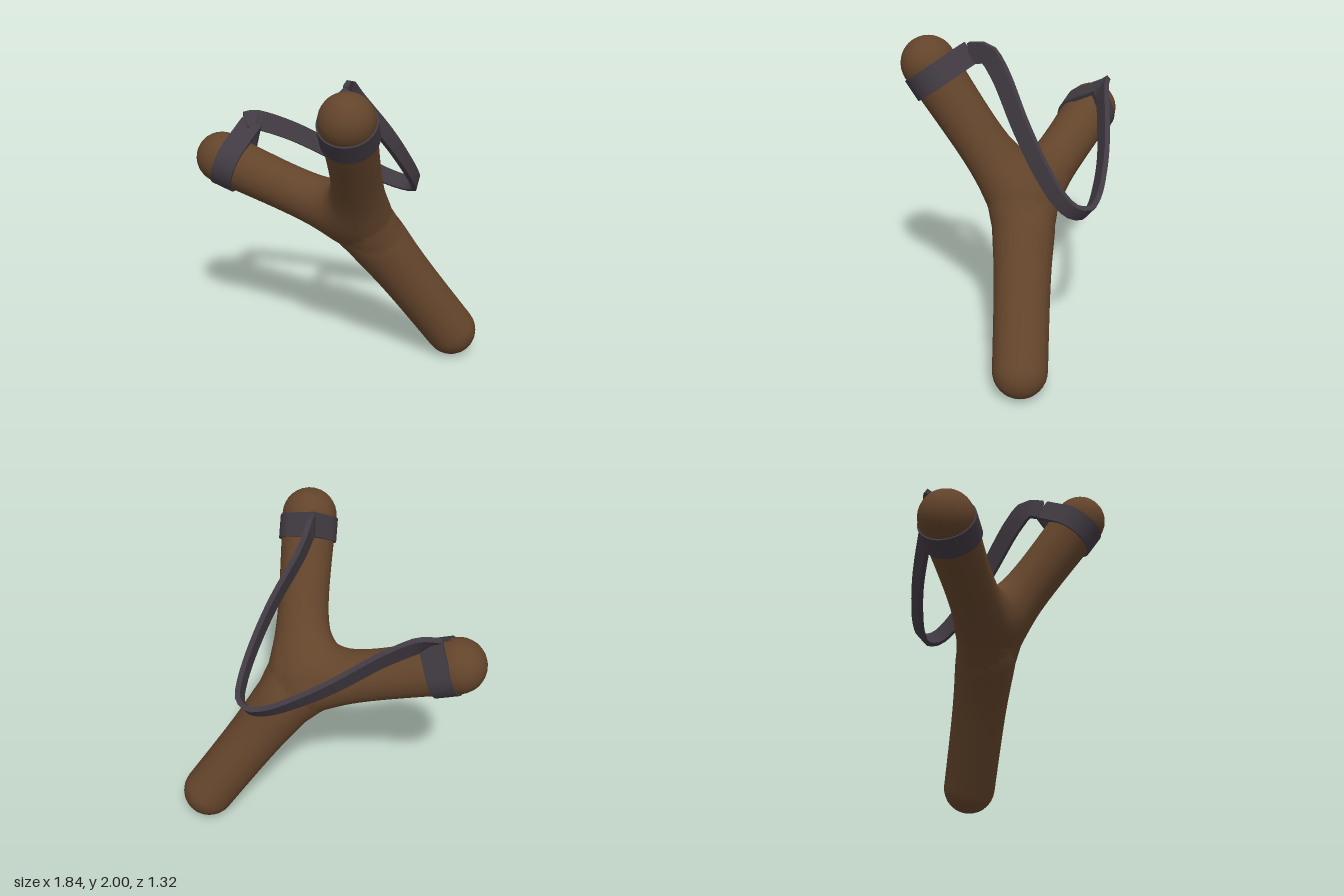
import * as THREE from 'three';
import { toCreasedNormals } from 'three/addons/utils/BufferGeometryUtils.js';

const V = (x, y, z) => new THREE.Vector3(x, y, z);
const wood = new THREE.MeshStandardMaterial({ color: 0x63442b });
const rubber = new THREE.MeshStandardMaterial({ color: 0x413a42 });

// Fork skeleton: three limbs meeting at one joint
const J = V(0.158, 0.968, -0.11);
const limbs = [
  { name: 'frontProng', end: V(0, 1.83, 0.485), r0: 0.13, tail: V(0.01, 1.9, 0.235) },
  { name: 'rearProng', end: V(-0.755, 1.31, -0.495), r0: 0.13, tail: V(-0.6, 1.54, -0.55) },
  { name: 'handle', end: V(0.752, 0.168, -0.135), r0: 0.172 },
];
for (const l of limbs) {
  l.d = l.end.clone().sub(J);
  l.len = l.d.length();
  l.d.normalize();
}
const N = limbs[0].d.clone().cross(limbs[1].d).normalize();
const R1 = 0.168, BLEND = 0.14;

// Distance to the smoothly blended limbs, each thinned at the joint to make room for the web
function field(p) {
  let sum = 0;
  for (const l of limbs) {
    const q = p.clone().sub(J);
    const h = THREE.MathUtils.clamp(q.dot(l.d), 0, l.len);
    const radius = THREE.MathUtils.lerp(l.r0, R1, h / l.len) - 0.123 * Math.exp(-h / 0.14);
    const dist = q.addScaledVector(l.d, -h).length() - radius;
    sum += Math.exp(-dist / BLEND);
  }
  return -BLEND * Math.log(sum);
}

function fieldNormal(p) {
  const e = 0.002, g = (x, y, z) => field(p.clone().add(V(x, y, z))) - field(p.clone().sub(V(x, y, z)));
  return V(g(e, 0, 0), g(0, e, 0), g(0, 0, e)).normalize();
}

// Index for a grid of rings, closed around each ring
function ringIndex(rings, seg) {
  const idx = [];
  for (let i = 0; i < rings - 1; i++) for (let j = 0; j < seg; j++) {
    const a = i * seg + j, b = i * seg + (j + 1) % seg;
    idx.push(a, b, a + seg, b, b + seg, a + seg);
  }
  return idx;
}

// One limb: rings fan from the seams shared with its neighbours to the rounded tip
function limbGeometry(i) {
  const { d, len } = limbs[i];
  const seamNext = d.clone().add(limbs[(i + 1) % 3].d).normalize();
  const seamPrev = d.clone().add(limbs[(i + 2) % 3].d).normalize();
  const side = N.clone().cross(d).normalize();
  const up = d.clone().cross(side);
  const SEG = 32, BODY = 30, CAP = 8, pos = [], nor = [];
  for (let k = 0; k <= BODY + CAP; k++) {
    const s = len * Math.min(k / BODY, 1);
    const e = THREE.MathUtils.smoothstep(s, 0, 0.4);
    const tilt = Math.max(0, k - BODY) / CAP * Math.PI / 2;
    for (let j = 0; j < SEG; j++) {
      const a = j / SEG * Math.PI * 2, c = Math.cos(a), n = Math.sin(a);
      const seam = (c >= 0 ? seamNext : seamPrev).clone().multiplyScalar(Math.abs(c)).addScaledVector(N, n);
      const dir = side.clone().multiplyScalar(c).addScaledVector(up, n);
      dir.lerp(seam, 1 - e).normalize().multiplyScalar(Math.cos(tilt)).addScaledVector(d, Math.sin(tilt)).normalize();
      const p = J.clone().addScaledVector(d, s);
      for (let t = 0; t < 40; t++) p.addScaledVector(dir, -0.9 * field(p));
      pos.push(...p.toArray());
      nor.push(...fieldNormal(p).toArray());
    }
  }
  const g = new THREE.BufferGeometry();
  g.setAttribute('position', new THREE.Float32BufferAttribute(pos, 3));
  g.setAttribute('normal', new THREE.Float32BufferAttribute(nor, 3));
  g.setIndex(ringIndex(BODY + CAP + 1, SEG));
  return g;
}

// Teardrop outline: circle of radius r drawn out to a point at x = tip
function teardrop(Type, r, tip) {
  const a = Math.acos(r / tip);
  const s = new Type();
  s.moveTo(tip, 0);
  s.lineTo(r * Math.cos(a), r * Math.sin(a));
  s.absarc(0, 0, r, a, Math.PI * 2 - a, false);
  s.lineTo(tip, 0);
  return s;
}

// Rubber loop around a prong, pulled to a point where the strap leaves it
function loopMesh({ d, end, tail }) {
  const W = 0.145;
  const centre = end.clone().addScaledVector(d, -0.085);
  const out = tail.clone().sub(centre);
  out.addScaledVector(d, -out.dot(d));
  const tip = out.length() + 0.015;
  out.normalize();
  const shape = teardrop(THREE.Shape, 0.178, tip);
  shape.holes.push(teardrop(THREE.Path, 0.154, tip - 0.04));
  const g = new THREE.ExtrudeGeometry(shape, { depth: W, bevelEnabled: false, curveSegments: 28 });
  g.translate(0, 0, -W / 2);
  g.applyMatrix4(new THREE.Matrix4().makeBasis(out, d.clone().cross(out), d).setPosition(centre));
  return new THREE.Mesh(toCreasedNormals(g, 0.6), rubber);
}

// Flat strap swept from one loop to the other
function strapGeometry() {
  const mid = [
    V(0.04, 1.91, 0.13), V(0.1, 1.82, 0.05), V(0.3, 1.55, -0.1), V(0.44, 1.32, -0.24),
    V(0.51, 1.18, -0.35), V(0.525, 1.125, -0.42), V(0.48, 1.1, -0.495), V(0.37, 1.125, -0.54),
    V(0.2, 1.2, -0.57), V(0, 1.3, -0.585), V(-0.3, 1.46, -0.575), V(-0.53, 1.54, -0.565),
  ];
  const curve = new THREE.CatmullRomCurve3([limbs[0].tail, ...mid, limbs[1].tail]);
  const acrossFront = V(0.3, 0.72, -0.62).normalize(), acrossRear = V(0.15, 0.9, -0.35).normalize();
  const RINGS = 56, pos = [];
  const corners = [[-1, -1], [1, -1], [1, 1], [-1, 1]];
  for (let i = -1; i <= RINGS + 1; i++) {
    const u = THREE.MathUtils.clamp(i / RINGS, 0, 1);
    const size = i < 0 || i > RINGS ? 0 : 1; // collapsed rings close the ends
    const p = curve.getPointAt(u), t = curve.getTangentAt(u);
    const edge = u < 0.5 ? limbs[0].d : limbs[1].d;
    const twist = 1 - THREE.MathUtils.smoothstep(Math.min(u, 1 - u), 0, 0.06);
    const w = acrossFront.clone().lerp(acrossRear, THREE.MathUtils.smoothstep(u, 0.4, 0.8)).lerp(edge, twist);
    w.addScaledVector(t, -w.dot(t)).normalize();
    const h = t.clone().cross(w);
    const half = (0.05 + 0.016 * Math.abs(2 * u - 1)) * size;
    for (const [a, b] of corners)
      pos.push(...p.clone().addScaledVector(w, a * half).addScaledVector(h, b * 0.016 * size).toArray());
  }
  const g = new THREE.BufferGeometry();
  g.setAttribute('position', new THREE.Float32BufferAttribute(pos, 3));
  g.setIndex(ringIndex(RINGS + 3, 4));
  return toCreasedNormals(g, 0.6);
}

export function createModel() {
  const model = new THREE.Group();
  model.name = 'slingshot';
  limbs.forEach((l, i) => {
    const limb = new THREE.Mesh(limbGeometry(i), wood);
    limb.name = l.name;
    model.add(limb);
    if (l.tail) {
      const loop = loopMesh(l);
      loop.name = l.name + 'Loop';
      model.add(loop);
    }
  });
  const strap = new THREE.Mesh(strapGeometry(), rubber);
  strap.name = 'strap';
  model.add(strap);
  return model;
}
